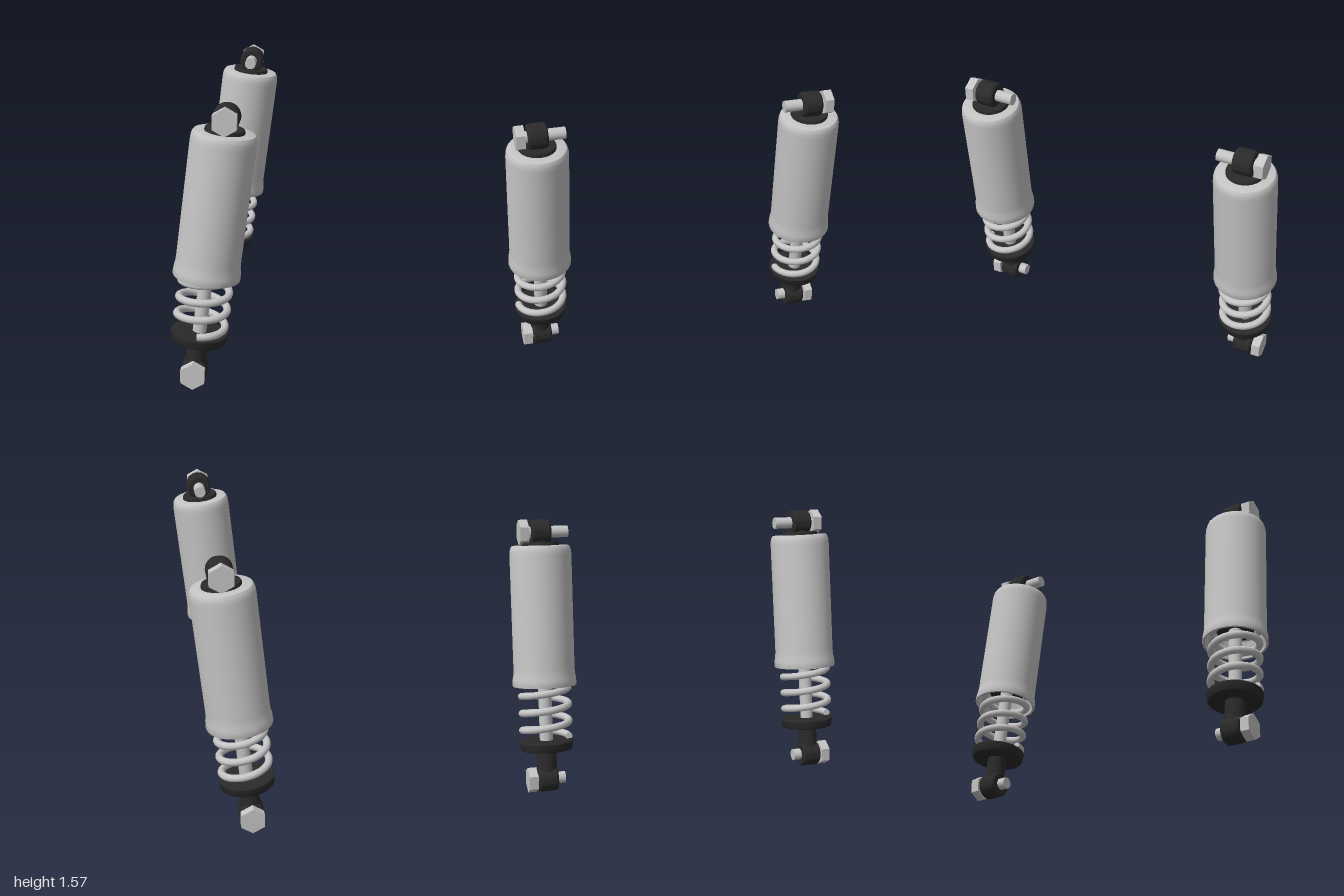
import * as THREE from 'three';
import { toCreasedNormals } from 'three/addons/utils/BufferGeometryUtils.js';

const silver = new THREE.MeshStandardMaterial({ color: 0xc4c4c4 });
silver.name = 'silver metal';
const black = new THREE.MeshStandardMaterial({ color: 0x2a2a2a });
black.name = 'black metal';

const add = (parent, name, geometry, material) => {
  const mesh = new THREE.Mesh(geometry, material);
  mesh.name = name;
  parent.add(mesh);
  return mesh;
};

// Turned part: [radius, height] pairs, outer side running upwards
const turned = (profile) => toCreasedNormals(
  new THREE.LatheGeometry(profile.map(([r, y]) => new THREE.Vector2(r, y)), 48), 0.6);

// Upright cylinder between two heights
const rod = (rBottom, rTop, y0, y1, sides = 32) =>
  new THREE.CylinderGeometry(rTop, rBottom, y1 - y0, sides).translate(0, (y0 + y1) / 2, 0);

class Helix extends THREE.Curve {
  constructor(radius, start, pitch, turns) {
    super();
    Object.assign(this, { radius, start, pitch, turns });
  }
  getPoint(t, target = new THREE.Vector3()) {
    const a = t * this.turns * Math.PI * 2;
    return target.set(this.radius * Math.sin(a), this.start + this.pitch * this.turns * t, this.radius * Math.cos(a));
  }
}

// Mounting eye with its bolt; axis along z, bolt head on the outer side
function makeMount(name, shaftEnd, headStart) {
  const mount = new THREE.Group();
  mount.name = name;
  const eye = turned([[0, -0.056], [0.064, -0.056], [0.073, -0.046], [0.073, 0.046], [0.064, 0.056], [0, 0.056]]);
  add(mount, 'eye', eye.rotateX(Math.PI / 2), black);
  add(mount, 'boltShaft', rod(0.034, 0.034, shaftEnd, headStart, 24).rotateX(Math.PI / 2), silver);
  const head = new THREE.CylinderGeometry(0.075, 0.075, 0.051, 6).toNonIndexed();
  head.computeVertexNormals();
  head.translate(0, headStart + 0.0255, 0).rotateX(Math.PI / 2);
  add(mount, 'boltHead', head, silver);
  return mount;
}

function makeShock(side) {
  const shock = new THREE.Group();
  shock.name = side > 0 ? 'frontShock' : 'rearShock';
  const low = new THREE.Vector3(-0.1, 0.077, 0.823 * side);
  const high = new THREE.Vector3(0.075, 1.498, 0.8 * side);

  // Bolted mounts stay square to the z axis
  const lower = makeMount('lowerMount', -0.103, 0.065);
  const upper = makeMount('upperMount', -0.16, 0.072);
  lower.position.copy(low);
  upper.position.copy(high);
  for (const m of [lower, upper]) {
    if (side < 0) m.rotation.y = Math.PI;
    shock.add(m);
  }

  // Everything else follows the leaning line between the eyes
  const strut = new THREE.Group();
  strut.name = 'strut';
  strut.position.copy(low);
  strut.quaternion.setFromUnitVectors(new THREE.Vector3(0, 1, 0), high.clone().sub(low).normalize());
  shock.add(strut);

  add(strut, 'lowerStem', rod(0.056, 0.056, 0.03, 0.18), black);
  add(strut, 'springSeat', turned([[0, 0.174], [0.146, 0.174], [0.151, 0.18], [0.157, 0.222], [0.153, 0.228], [0, 0.228]]), black);
  add(strut, 'pistonRod', rod(0.038, 0.038, 0.22, 0.68), silver);

  // Coil spring running up into the cover
  const coil = new Helix(0.135, 0.243, 0.099, 5);
  add(strut, 'spring', new THREE.TubeGeometry(coil, 240, 0.021, 12), silver);
  const endCap = new THREE.CircleGeometry(0.021, 12).rotateY(-Math.PI / 2).translate(0, 0.243, 0.135);
  add(strut, 'springEnd', endCap, silver);

  // Damper tube inside the cover; its top shows as the black collar
  add(strut, 'damper', turned([[0, 0.63], [0.106, 0.63], [0.108, 1.366], [0.104, 1.376], [0, 1.376]]), black);
  add(strut, 'upperStem', rod(0.055, 0.055, 1.37, 1.41), black);

  // Hollow cover with a flared lower lip and rounded shoulder
  add(strut, 'cover', turned([
    [0.1, 1.33], [0.16, 1.33], [0.16, 0.585], [0.17, 0.57], [0.17, 0.55],
    [0.183, 0.55], [0.185, 0.556], [0.183, 0.59], [0.178, 0.615], [0.176, 0.65], [0.177, 1.3],
    [0.1755, 1.325], [0.171, 1.343], [0.164, 1.354], [0.156, 1.357], [0.1, 1.357],
  ]), silver);
  return shock;
}

export function createModel() {
  const model = new THREE.Group();
  model.name = 'shockAbsorberPair';
  model.add(makeShock(1), makeShock(-1));
  return model;
}
